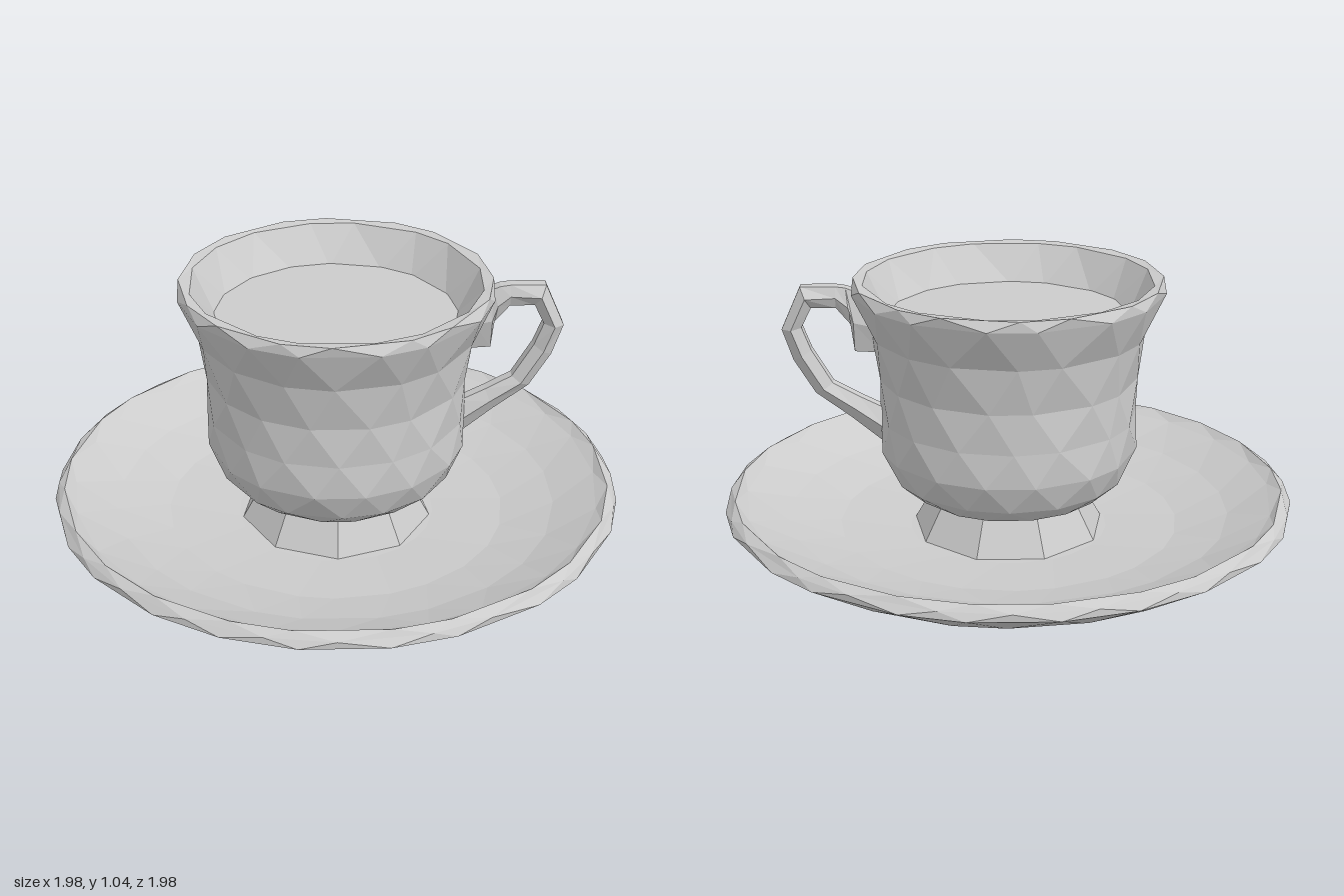
import * as THREE from 'three';

const material = new THREE.MeshStandardMaterial({ color: 0xcccccc, flatShading: true });

// Skins a list of equal-length point rings; staggered rings are offset by half a step.
function skin(name, rings, staggered = false) {
  const n = rings[0].length;
  const positions = [];
  const triangle = (a, b, c) => positions.push(...a, ...b, ...c);
  for (let i = 0; i < rings.length - 1; i++) {
    const lower = rings[i], upper = rings[i + 1];
    for (let j = 0; j < n; j++) {
      const k = (j + 1) % n;
      if (staggered && i % 2 === 1) {
        triangle(upper[j], upper[k], lower[j]);
        triangle(lower[j], upper[k], lower[k]);
      } else {
        triangle(lower[j], upper[j], lower[k]);
        triangle(upper[j], upper[k], lower[k]);
      }
    }
  }
  const geometry = new THREE.BufferGeometry();
  geometry.setAttribute('position', new THREE.Float32BufferAttribute(positions, 3));
  geometry.computeVertexNormals();
  const mesh = new THREE.Mesh(geometry, material);
  mesh.name = name;
  return mesh;
}

// Turns a [radius, height] profile into staggered rings with slightly uneven facets.
function turned(name, profile, sides, unevenness) {
  const rings = profile.map(([r, y], i) =>
    Array.from({ length: sides }, (_, j) => {
      const wobble = Math.sin(i * 12.9 + j * 78.2) * unevenness;
      const a = ((j + (i % 2) / 2 + wobble) / sides) * Math.PI * 2;
      return [r * Math.cos(a), y, r * Math.sin(a)];
    }));
  return skin(name, rings, true);
}

export function createModel() {
  const model = new THREE.Group();
  model.name = 'cupAndSaucer';

  // Saucer: recessed base, foot ring, dished body and upturned rim
  model.add(turned('saucer', [
    [0, 0.06], [0.46, 0.06], [0.475, 0], [0.495, 0], [0.53, 0.045],
    [0.7, 0.085], [0.85, 0.145], [1, 0.24], [0.99, 0.265], [0.965, 0.285],
    [0.93, 0.26], [0.78, 0.195], [0.6, 0.15], [0.35, 0.13], [0, 0.13],
  ], 24, 0.12));

  // Flared foot between cup and saucer
  const foot = new THREE.Mesh(new THREE.CylinderGeometry(0.25, 0.345, 0.17, 9, 1, true), material);
  foot.name = 'cupFoot';
  foot.position.y = 0.205;
  model.add(foot);

  // Cup wall: rounded bottom, slight waist, flared lip and inside wall
  model.add(turned('cup', [
    [0, 0.28], [0.34, 0.28], [0.41, 0.34], [0.452, 0.44], [0.45, 0.56],
    [0.45, 0.7], [0.478, 0.86], [0.54, 1.005], [0.532, 1.04], [0.5, 1.035],
    [0.41, 0.9],
  ], 16, 0.12));

  // Drink surface
  const drink = new THREE.Mesh(new THREE.CircleGeometry(0.42, 16), material);
  drink.name = 'drink';
  drink.rotation.x = -Math.PI / 2;
  drink.position.y = 0.91;
  model.add(drink);

  // Handle: each section is outer x, y, inner x, y, half width
  const sections = [
    [0.5, 0.98, 0.44, 0.78, 0.045],
    [0.53, 1.0, 0.53, 0.785, 0.045],
    [0.555, 1.01, 0.54, 0.88, 0.04],
    [0.59, 1.015, 0.59, 0.94, 0.035],
    [0.71, 1.015, 0.675, 0.94, 0.05],
    [0.778, 0.865, 0.71, 0.87, 0.05],
    [0.742, 0.755, 0.68, 0.79, 0.045],
    [0.67, 0.635, 0.61, 0.67, 0.045],
    [0.55, 0.545, 0.52, 0.62, 0.045],
    [0.43, 0.445, 0.43, 0.575, 0.05],
  ];
  model.add(skin('handle', sections.map(([ox, oy, ix, iy, w]) => {
    const mx = (ox + ix) / 2, my = (oy + iy) / 2;
    return [
      [ox, oy, 0.02], [ox, oy, -0.02], [mx, my, -w],
      [ix, iy, -0.02], [ix, iy, 0.02], [mx, my, w],
    ];
  })));

  return model;
}
